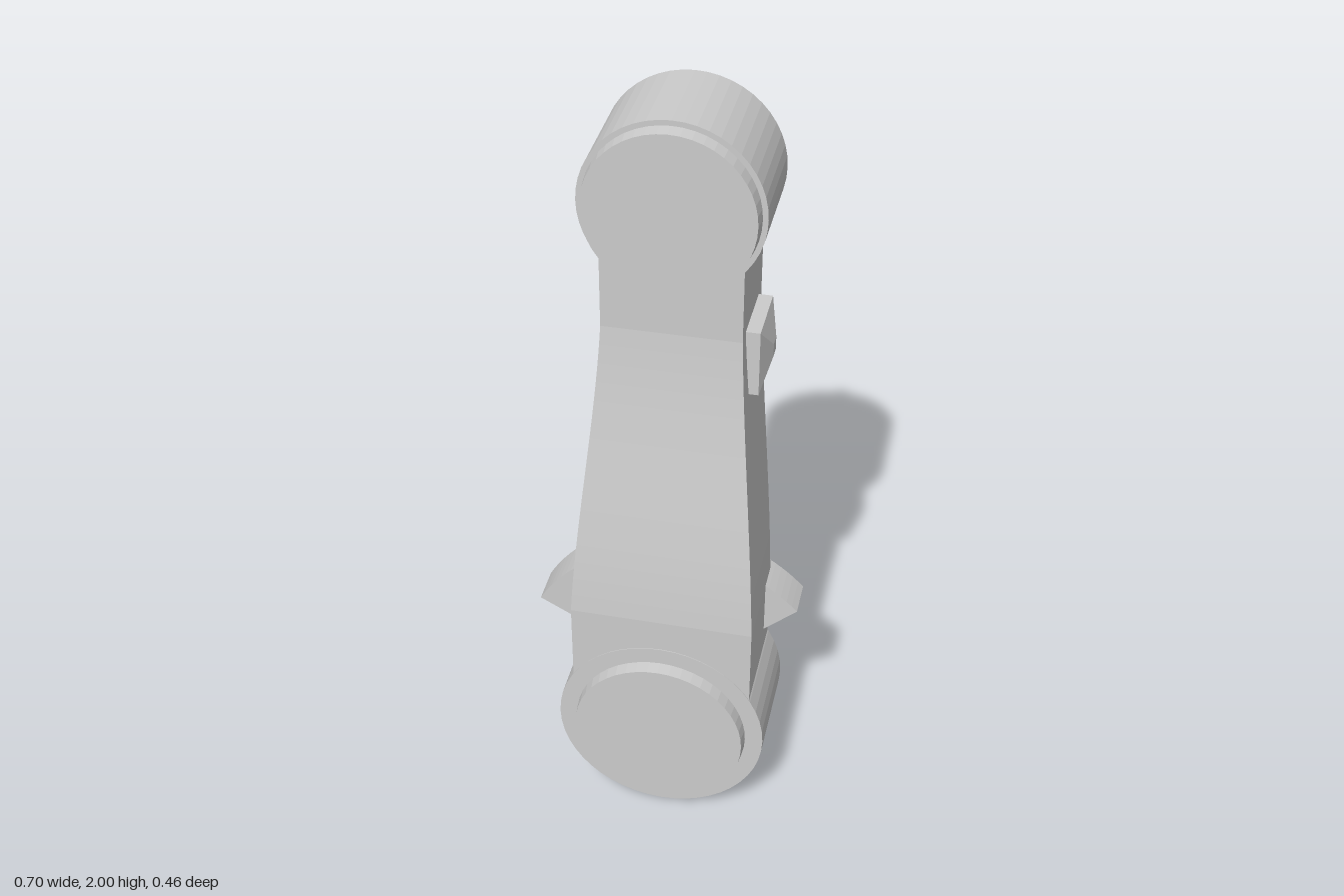
import * as THREE from 'three';

const CX = 0.025, TOP_Y = 1.78, LOW_Y = 0.285;
const material = new THREE.MeshStandardMaterial({ color: 0xcccccc, flatShading: true });

export function createModel() {
  const model = new THREE.Group();

  const add = (name, geometry, x = 0, y = 0, z = 0) => {
    const mesh = new THREE.Mesh(geometry, material);
    mesh.name = name;
    mesh.position.set(x, y, z);
    model.add(mesh);
    return mesh;
  };
  // Round part along z, with its own radius at the back and at the front
  const disc = (name, y, zBack, zFront, rBack, rFront = rBack) => {
    const g = new THREE.CylinderGeometry(rFront, rBack, zFront - zBack, 48).rotateX(Math.PI / 2);
    return add(name, g, CX, y, (zBack + zFront) / 2);
  };
  const slab = (name, shape, y, zBack, zFront) =>
    add(name, new THREE.ExtrudeGeometry(shape, { depth: zFront - zBack, bevelEnabled: false, curveSegments: 20 }), CX, y, zBack);
  // Box on the rim of a hub, turned to face outward
  const lug = (name, y, angle, r, size, z) => {
    const a = THREE.MathUtils.degToRad(angle);
    const m = add(name, new THREE.BoxGeometry(...size), CX + r * Math.cos(a), y + r * Math.sin(a), z);
    m.rotation.z = a;
  };
  // Low rounded bump on the edge of a rear disc
  const bump = (name, y, angle, r, height, zBack, zFront) => {
    const s = new THREE.Shape();
    s.moveTo(-0.085, r - 0.05);
    s.lineTo(-0.075, r - 0.018);
    s.quadraticCurveTo(-0.045, r, -0.035, r + height);
    s.lineTo(0.035, r + height);
    s.quadraticCurveTo(0.045, r, 0.075, r - 0.018);
    s.lineTo(0.085, r - 0.05);
    slab(name, s, y, zBack, zFront).rotation.z = THREE.MathUtils.degToRad(angle - 90);
  };

  // Arm: a box that narrows and leans back towards the upper hub
  const arm = new THREE.BoxGeometry(1, 1.4, 1, 1, 28, 1).translate(0, 1.0, 0);
  const p = arm.attributes.position;
  for (let i = 0; i < p.count; i++) {
    const y = p.getY(i);
    const t = THREE.MathUtils.clamp((y - 0.65) / 0.8, 0, 1);
    const k = 0.6 * t + 0.4 * t * t * (3 - 2 * t);
    const half = THREE.MathUtils.lerp(0.235, 0.17, k);
    const z = p.getZ(i) > 0 ? THREE.MathUtils.lerp(0.194, 0.074, k) : THREE.MathUtils.lerp(-0.084, -0.174, k);
    p.setXYZ(i, CX + Math.sign(p.getX(i)) * half, y, z);
  }
  arm.computeVertexNormals();
  add('arm', arm);

  // Upper hub with front cap and rear disc
  disc('upperHub', TOP_Y, -0.178, 0.076, 0.22);
  disc('upperFrontCap', TOP_Y, 0.076, 0.11, 0.207, 0.203);
  disc('upperRearDisc', TOP_Y, -0.205, -0.178, 0.168, 0.172);
  disc('upperRearBoss', TOP_Y, -0.22, -0.205, 0.095);
  bump('upperRearBump', TOP_Y, 264, 0.17, 0.028, -0.204, -0.17);
  for (const a of [86.5, 93.5]) lug('upperRearPin', TOP_Y, a, 0.183, [0.045, 0.013, 0.03], -0.19);

  // Lower hub with front cap and rear disc
  disc('lowerHub', LOW_Y, -0.085, 0.196, 0.275);
  disc('lowerFrontCap', LOW_Y, 0.196, 0.23, 0.228, 0.224);
  disc('lowerRearDisc', LOW_Y, -0.115, -0.085, 0.19, 0.21);
  disc('lowerRearBoss', LOW_Y, -0.13, -0.115, 0.11);
  bump('lowerRearBump', LOW_Y, 90, 0.195, 0.022, -0.114, -0.08);

  // Small paired lugs under the lower hub
  for (const a of [234, 246]) lug('lowerLug', LOW_Y, a, 0.287, [0.044, 0.02, 0.1], 0.027);
  lug('lowerLugBridge', LOW_Y, 240, 0.275, [0.026, 0.06, 0.04], 0.027);

  // Curved guard wrapping over the lower hub
  const guard = new THREE.Shape();
  const a0 = THREE.MathUtils.degToRad(41.7), a1 = THREE.MathUtils.degToRad(151.7);
  guard.absarc(0, 0, 0.43, a0, a1, false);
  guard.absarc(0, 0, 0.295, a1, a0, true);
  slab('curvedGuard', guard, LOW_Y, -0.115, -0.012);

  // Concave rear block below the upper hub
  const block = new THREE.Shape();
  block.moveTo(-0.104, -0.22);
  block.quadraticCurveTo(-0.085, -0.28, -0.1, -0.34);
  block.quadraticCurveTo(0, -0.305, 0.1, -0.34);
  block.quadraticCurveTo(0.085, -0.28, 0.104, -0.22);
  block.quadraticCurveTo(0, -0.28, -0.104, -0.22);
  slab('rearBlock', block, TOP_Y, -0.23, -0.16);

  // Side button: flat base with a pyramid face
  add('sideButtonBase', new THREE.BoxGeometry(0.05, 0.175, 0.17), 0.205, 1.368, -0.05);
  const face = new THREE.CylinderGeometry(0.2 * Math.SQRT1_2, Math.SQRT1_2, 0.022, 4)
    .rotateY(Math.PI / 4).rotateZ(-Math.PI / 2).scale(1, 0.175, 0.17);
  add('sideButtonFace', face, 0.241, 1.368, -0.05);

  return model;
}
